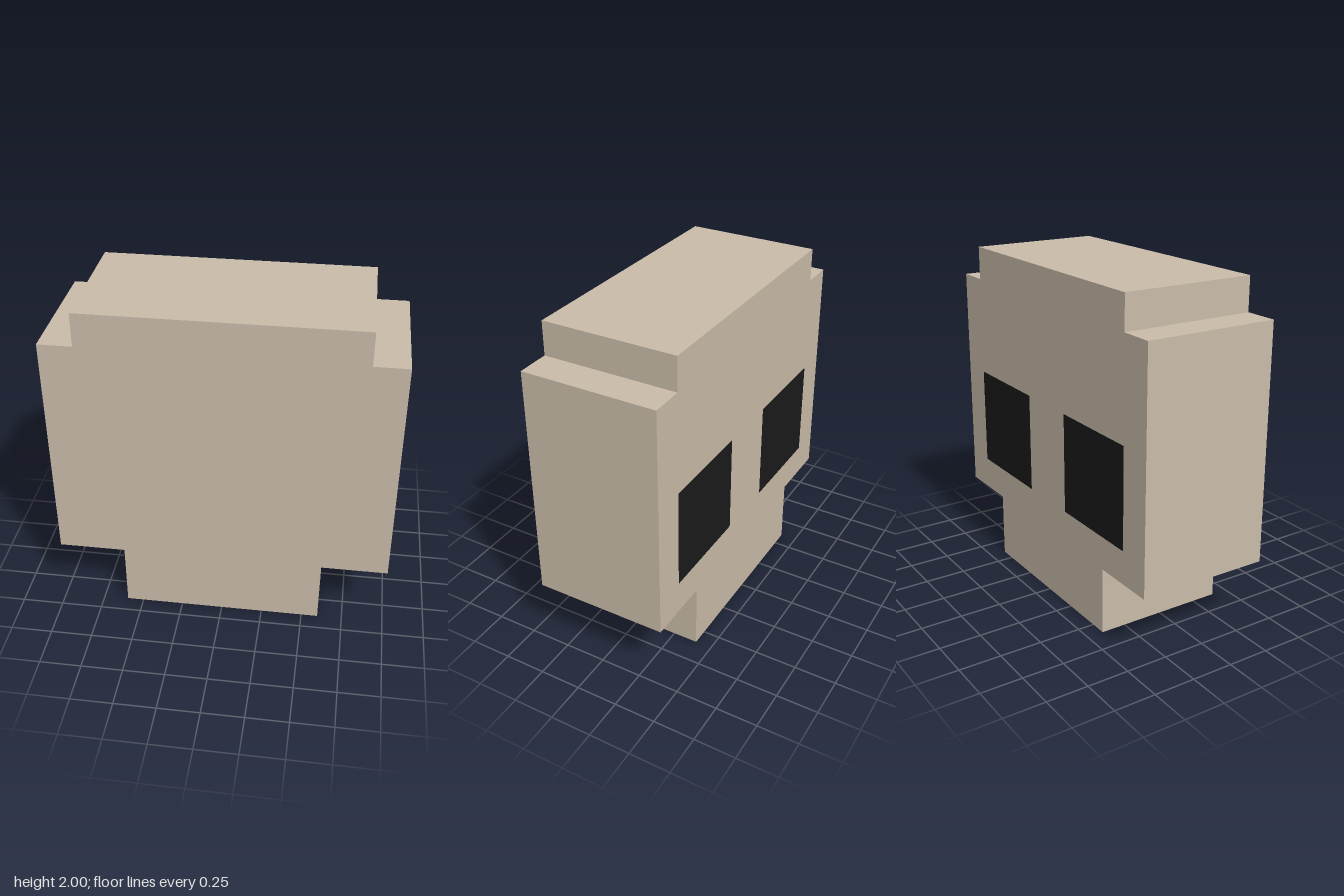
import * as THREE from 'three';

export function createModel() {
  const model = new THREE.Group();
  model.name = 'skull';

  const bone = new THREE.MeshStandardMaterial({ color: 0xc8baa8 });
  bone.name = 'bone';
  const black = new THREE.MeshStandardMaterial({ color: 0x1a1a1a });
  black.name = 'black';

  // Stepped outline: narrow jaw, wide face, slightly narrower crown
  const half = [[0.6, 0], [0.6, 0.4], [1, 0.4], [1, 1.8], [0.8, 1.8], [0.8, 2]];
  const mirrored = half.map(([x, y]) => [-x, y]).reverse();
  const outline = new THREE.Shape([...half, ...mirrored].map(([x, y]) => new THREE.Vector2(x, y)));
  const headGeometry = new THREE.ExtrudeGeometry(outline, { depth: 0.8, bevelEnabled: false });
  headGeometry.translate(0, 0, -0.4);
  const head = new THREE.Mesh(headGeometry, bone);
  head.name = 'head';
  model.add(head);

  // Square eye sockets as thin plates on the back face
  const eyeGeometry = new THREE.BoxGeometry(0.6, 0.6, 0.004);
  for (const side of [-1, 1]) {
    const eye = new THREE.Mesh(eyeGeometry, black);
    eye.name = side > 0 ? 'leftEye' : 'rightEye';
    eye.position.set(side * 0.5, 0.9, -0.4);
    model.add(eye);
  }

  return model;
}
